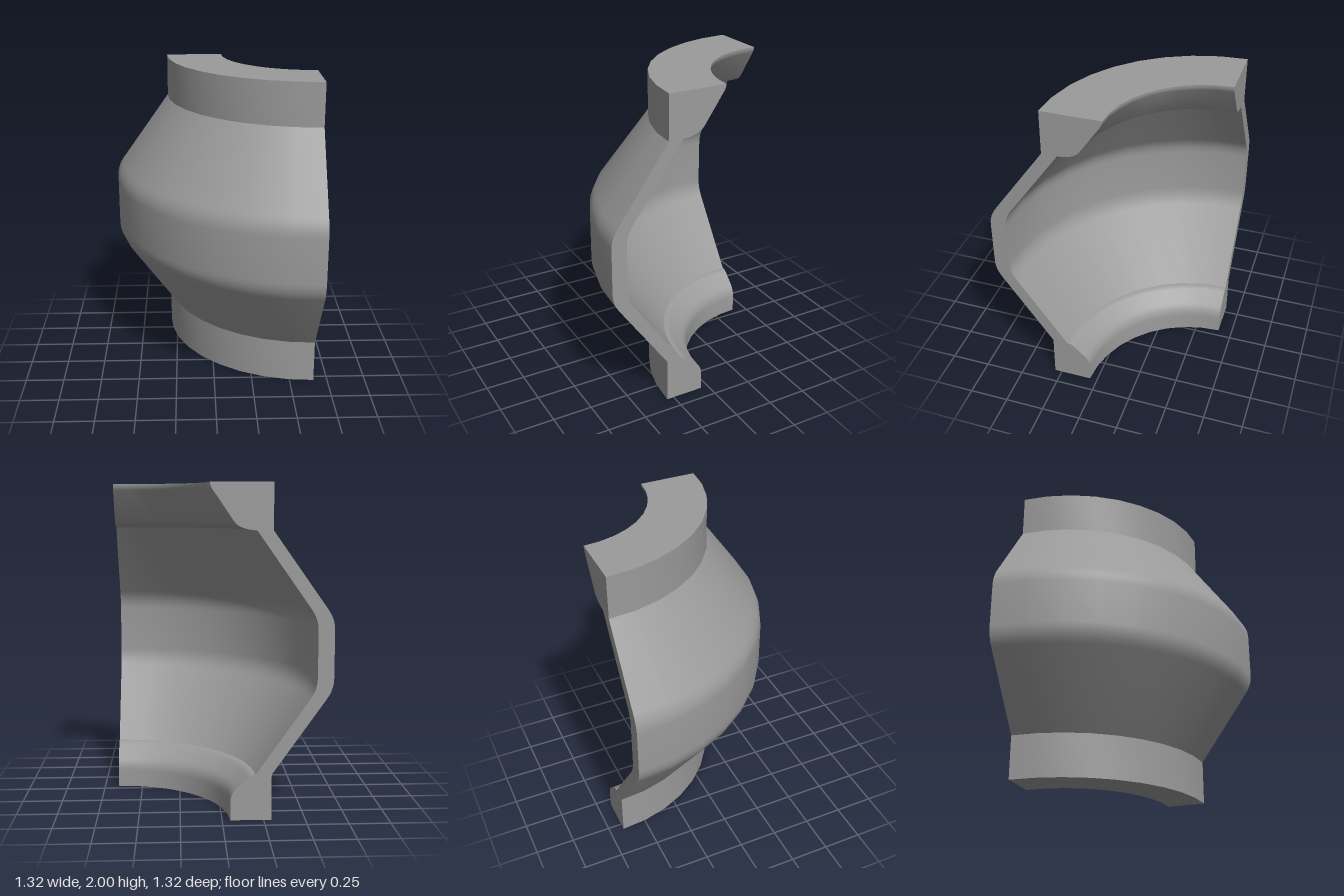
import * as THREE from 'three';
import { toCreasedNormals } from 'three/addons/utils/BufferGeometryUtils.js';

const AXIS = 0.659; // the axis of revolution stands at x = AXIS, z = -AXIS
const SEGMENTS = 9; // ten degrees each

// Closed wall section (radius, height): up the outside, down the inside
function wallSection() {
  const s = new THREE.Shape();
  s.moveTo(0.955, 0);
  // outer wall: lower collar, belly with rounded shoulders, upper collar
  s.lineTo(0.955, 0.28);
  s.lineTo(1.277, 0.735);
  s.quadraticCurveTo(1.319, 0.793, 1.319, 0.86);
  s.lineTo(1.319, 1.145);
  s.quadraticCurveTo(1.319, 1.212, 1.277, 1.27);
  s.lineTo(0.955, 1.725);
  s.lineTo(0.955, 2);
  // upper mouth: rounded lip, flared bore, fillet into the ledge
  s.lineTo(0.588, 2);
  s.quadraticCurveTo(0.588, 1.98, 0.6, 1.962);
  s.lineTo(0.725, 1.778);
  s.quadraticCurveTo(0.757, 1.73, 0.86, 1.725);
  // inner wall of the belly
  s.lineTo(1.18, 1.27);
  s.quadraticCurveTo(1.222, 1.212, 1.222, 1.145);
  s.lineTo(1.222, 0.86);
  s.quadraticCurveTo(1.222, 0.793, 1.18, 0.735);
  s.lineTo(0.858, 0.28);
  // lower seat: eased ledge, chamfer and rounded bore
  s.quadraticCurveTo(0.832, 0.28, 0.812, 0.261);
  s.lineTo(0.75, 0.203);
  s.quadraticCurveTo(0.708, 0.165, 0.708, 0.11);
  s.lineTo(0.708, 0);
  s.closePath();
  return s.getPoints(5);
}

export function createModel() {
  const group = new THREE.Group();
  group.name = 'quarterHousing';
  const material = new THREE.MeshStandardMaterial({ color: 0x9b9b9b });
  const add = (name, geometry) => {
    const mesh = new THREE.Mesh(geometry, material);
    mesh.name = name;
    mesh.position.set(AXIS, 0, -AXIS);
    group.add(mesh);
  };

  // Quarter-turn shell
  const section = wallSection();
  const shell = new THREE.LatheGeometry(section, SEGMENTS, -Math.PI / 2, Math.PI / 2);
  add('shell', toCreasedNormals(shell, 0.55));

  // Flat cut faces closing both ends of the turn
  const outline = section.slice(0, -1);
  const mirrored = outline.map((p) => new THREE.Vector2(-p.x, p.y));
  add('backCutFace', new THREE.ShapeGeometry(new THREE.Shape(outline)).rotateY(Math.PI));
  add('leftCutFace', new THREE.ShapeGeometry(new THREE.Shape(mirrored)).rotateY(Math.PI / 2));

  return group;
}
